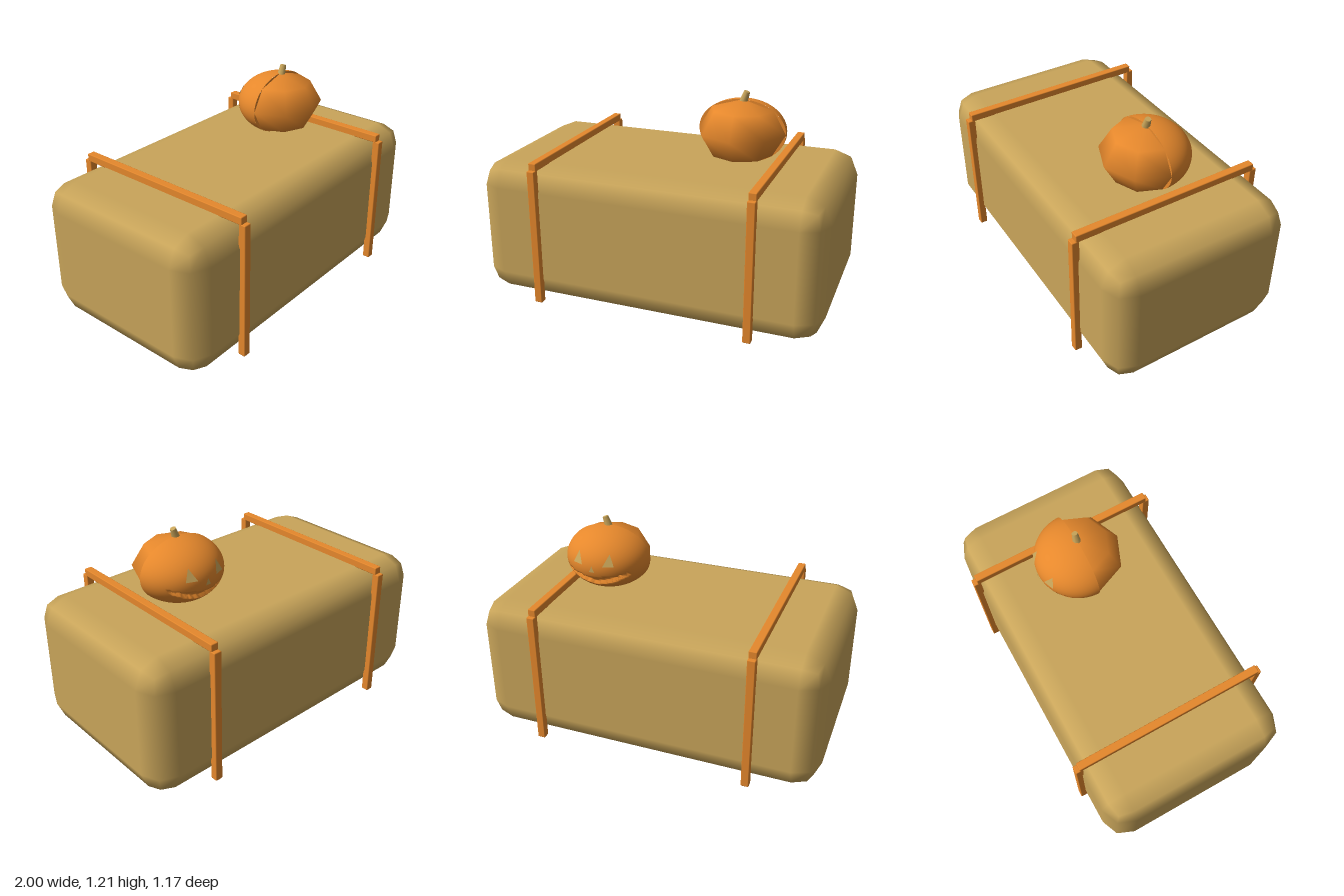
import * as THREE from 'three';
import { RoundedBoxGeometry } from 'three/addons/geometries/RoundedBoxGeometry.js';

const straw = new THREE.MeshStandardMaterial({ color: 0xc9a55a });
const orange = new THREE.MeshStandardMaterial({ color: 0xe6882c });
const strawThin = new THREE.MeshStandardMaterial({ color: 0xc9a55a, side: THREE.DoubleSide });

function add(parent, name, geometry, material, x = 0, y = 0, z = 0) {
  const mesh = new THREE.Mesh(geometry, material);
  mesh.name = name;
  mesh.position.set(x, y, z);
  parent.add(mesh);
  return mesh;
}

// Pumpkin ellipsoid radii
const R = 0.25, H = 0.18;

// Finely divided back half with a grinning mouth pressed into it
function carvedHalf() {
  const geo = new THREE.SphereGeometry(R, 64, 56, Math.PI, Math.PI);
  geo.scale(1, H / R, 1);
  const p = geo.attributes.position;
  for (let i = 0; i < p.count; i++) {
    const x = p.getX(i), y = p.getY(i), z = p.getZ(i);
    const middle = -0.075 + 1.3 * x * x;
    const halfHeight = 0.022 * (1 - (x / 0.19) ** 2);
    if (z < -0.05 && Math.abs(y - middle) < halfHeight) {
      p.setXYZ(i, x * 0.88, y * 0.97, z * 0.88);
    }
  }
  geo.computeVertexNormals();
  return geo;
}

// Triangle lying just over the back of the pumpkin
function faceTriangle(cx, cy, halfWidth, height) {
  const corners = [[cx - halfWidth, cy - height / 2], [cx, cy + height / 2], [cx + halfWidth, cy - height / 2]];
  const points = corners.map(([x, y]) =>
    new THREE.Vector3(x, y, -R * Math.sqrt(1 - (x / R) ** 2 - (y / H) ** 2)).multiplyScalar(1.025));
  const geo = new THREE.BufferGeometry().setFromPoints(points);
  geo.computeVertexNormals();
  return geo;
}

function createPumpkin() {
  const pumpkin = new THREE.Group();
  pumpkin.name = 'pumpkin';
  pumpkin.position.set(0.4, 0.98, 0);

  // Coarse, faceted outline on the front half
  const front = new THREE.SphereGeometry(R, 4, 4, 0, Math.PI);
  front.scale(1, H / R, 1);
  add(pumpkin, 'pumpkinFront', front, orange);
  add(pumpkin, 'pumpkinCarvedBack', carvedHalf(), orange);

  // Closes the step between the coarse and fine halves
  const seam = new THREE.CircleGeometry(R, 64);
  seam.scale(1, H / R, 1);
  add(pumpkin, 'pumpkinSeam', seam, orange);

  for (const side of [-1, 1]) {
    add(pumpkin, side < 0 ? 'rightEye' : 'leftEye', faceTriangle(side * 0.09, 0.055, 0.03, 0.065), strawThin);
  }
  add(pumpkin, 'nose', faceTriangle(0, 0.005, 0.016, 0.035), strawThin);

  // Leaning stem
  const stem = add(pumpkin, 'stem', new THREE.CylinderGeometry(0.017, 0.025, 0.075, 8), straw, 0.011, 0.19, 0);
  stem.rotation.z = -0.32;
  return pumpkin;
}

export function createModel() {
  const model = new THREE.Group();
  model.name = 'hayBaleWithPumpkin';

  add(model, 'hayBale', new RoundedBoxGeometry(2, 0.8, 1.1, 1, 0.14), straw, 0, 0.4, 0);

  // Two straps, each a top bar and two uprights
  for (const side of [-1, 1]) {
    const strap = new THREE.Group();
    strap.name = side < 0 ? 'rightStrap' : 'leftStrap';
    strap.position.x = side * 0.622;
    add(strap, 'strapTop', new RoundedBoxGeometry(0.045, 0.045, 1.12, 1, 0.005), orange, 0, 0.8175, 0);
    for (const end of [-1, 1]) {
      add(strap, end < 0 ? 'strapBack' : 'strapFront',
        new RoundedBoxGeometry(0.045, 0.8, 0.043, 1, 0.005), orange, 0, 0.4, end * 0.562);
    }
    model.add(strap);
  }

  model.add(createPumpkin());
  return model;
}
